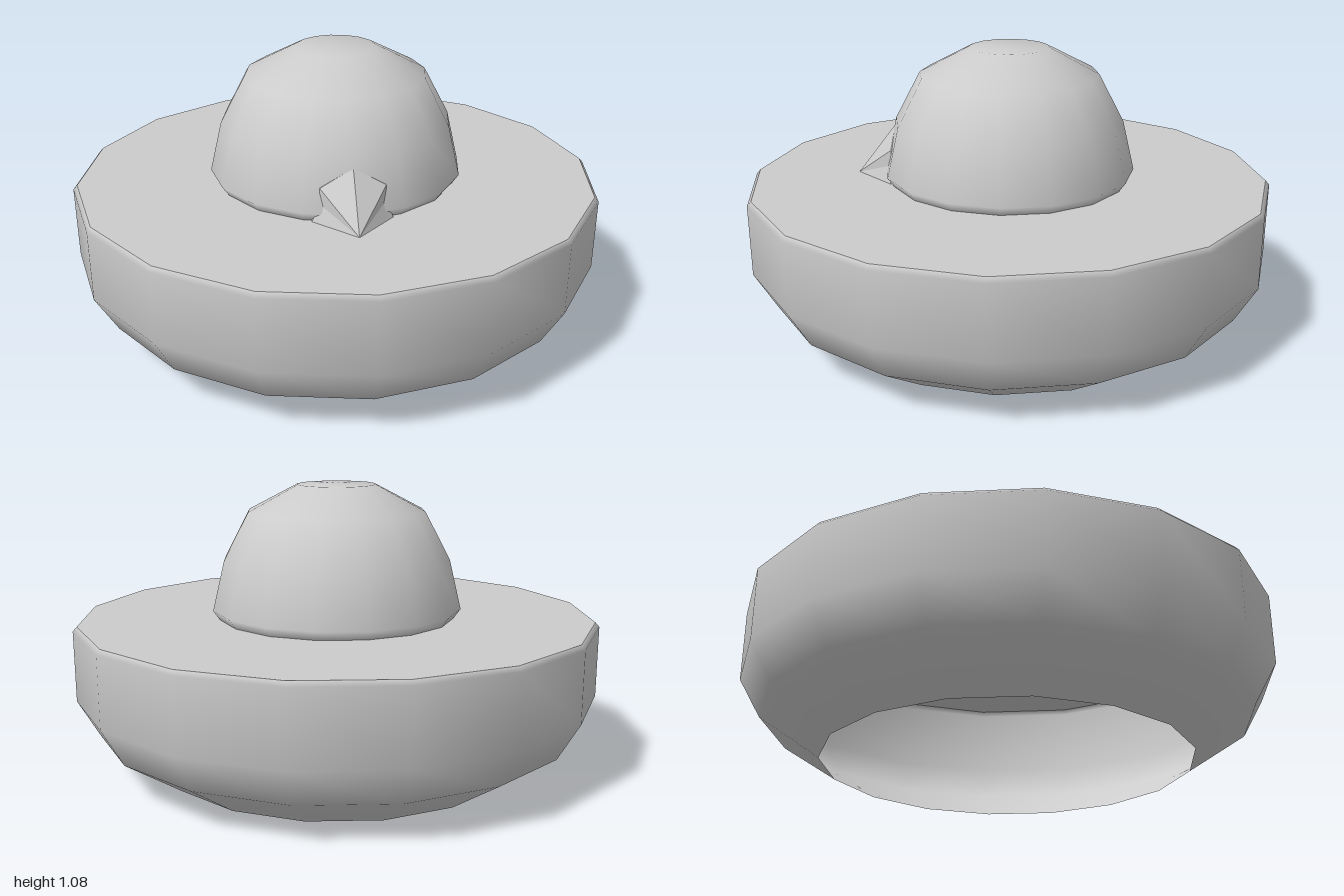
import * as THREE from 'three';

const SIDES = 16;
const material = new THREE.MeshStandardMaterial({ color: 0xcccccc, side: THREE.DoubleSide });

// Surface of revolution from [radius, height] pairs, bottom to top
function revolve(name, profile) {
  const points = profile.map(([r, y]) => new THREE.Vector2(r, y));
  const mesh = new THREE.Mesh(new THREE.LatheGeometry(points, SIDES), material);
  mesh.name = name;
  return mesh;
}

// Faceted wedge: a fan from the low front tip to an arch on the dome
function createBeak() {
  const tip = [0, 0.575, 0.588];
  const arch = [[0.145, 0.575], [0.117, 0.64], [0.117, 0.70], [0, 0.77], [-0.117, 0.70], [-0.117, 0.64], [-0.145, 0.575]];
  const positions = [];
  for (let i = 0; i < arch.length - 1; i++) {
    const a = [...arch[i], 0.44];
    const b = [...arch[i + 1], 0.44];
    const aIn = [...arch[i], 0.36];
    const bIn = [...arch[i + 1], 0.36];
    positions.push(...tip, ...a, ...b); // visible facet
    positions.push(...a, ...aIn, ...bIn, ...a, ...bIn, ...b); // root sunk into the dome
  }
  const geometry = new THREE.BufferGeometry();
  geometry.setAttribute('position', new THREE.Float32BufferAttribute(positions, 3));
  geometry.computeVertexNormals();
  const mesh = new THREE.Mesh(geometry, material);
  mesh.name = 'beak';
  return mesh;
}

export function createModel() {
  const group = new THREE.Group();
  group.name = 'floatingRingFigure';

  // Hollow bowl, open underneath
  group.add(revolve('bowl', [[0.69, 0], [0.915, 0.147], [0.998, 0.29], [1, 0.558], [0.985, 0.575]]));

  // Flat deck closing the top of the bowl
  group.add(revolve('deck', [[0.985, 0.575], [0, 0.575]]));

  // Rounded head with a flattened crown
  group.add(revolve('dome', [[0.455, 0.575], [0.48, 0.61], [0.435, 0.8], [0.34, 0.98], [0.15, 1.08], [0, 1.08]]));

  group.add(createBeak());
  return group;
}
